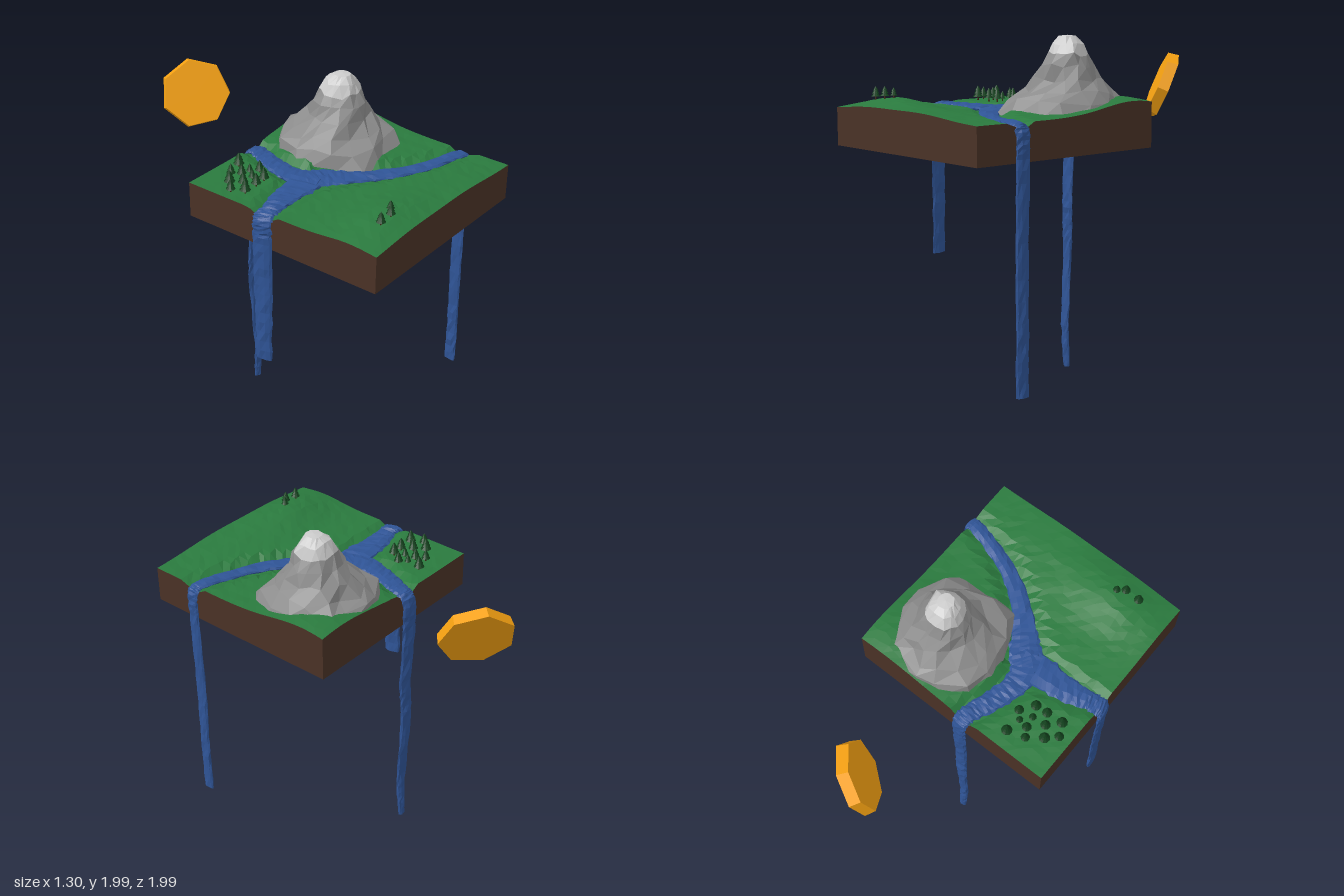
import * as THREE from 'three';

const V = (x, y, z) => new THREE.Vector3(x, y, z);
const mat = (color) => new THREE.MeshStandardMaterial({ color, flatShading: true });
const MATS = {
  grass: mat(0x2a7a3e), soil: mat(0x4a3226), water: mat(0x2f5496), rock: mat(0x8c8c8c),
  snow: mat(0xc6c6c6), leaf: mat(0x12401c), bark: mat(0x3f2716), gold: mat(0xf5a112),
};

// repeatable noise in -1..1
const noise = (a, b = 0, c = 0) => {
  const s = Math.sin(a * 127.1 + b * 311.7 + c * 74.7) * 43758.5453;
  return (s - Math.floor(s)) * 2 - 1;
};

function part(name, geometry, material) {
  const mesh = new THREE.Mesh(geometry, material);
  mesh.name = name;
  return mesh;
}

// skin over closed rings of equal length
function loft(rings) {
  const n = rings[0].length, index = [];
  for (let i = 0; i < rings.length - 1; i++) {
    for (let j = 0; j < n; j++) {
      const a = i * n + j, b = i * n + (j + 1) % n;
      index.push(a, a + n, b, b, a + n, b + n);
    }
  }
  const g = new THREE.BufferGeometry().setFromPoints(rings.flat());
  g.setIndex(index);
  g.computeVertexNormals();
  return g;
}

// island extents
const HALF = 0.61, BACK = -0.22, FRONT = 1.0, MID = 0.39, BOTTOM = 1.38;

// river arms: bed points [x, z, width], then fall points [x, y, z, width]
const ARMS = [
  { name: 'leftRiver',
    bed: [[-0.08, 0.27, 0.18], [-0.25, 0.25, 0.19], [-0.42, 0.26, 0.14], [-0.54, 0.285, 0.11], [-0.6, 0.29, 0.11]],
    fall: [[-0.626, 1.545, 0.295, 0.115], [-0.628, 1.45, 0.295, 0.11], [-0.625, 1.1, 0.295, 0.105], [-0.627, 0.68, 0.3, 0.1]] },
  { name: 'rightRiver',
    bed: [[-0.2, 0.2, 0.18], [-0.1, 0.29, 0.18], [0, 0.41, 0.13], [0.18, 0.56, 0.1], [0.4, 0.66, 0.085], [0.585, 0.71, 0.08]],
    fall: [[0.617, 1.545, 0.715, 0.085], [0.622, 1.4, 0.715, 0.08], [0.614, 0.9, 0.715, 0.078], [0.617, 0.5, 0.718, 0.076], [0.616, 0.16, 0.718, 0.075]] },
  { name: 'backRiver',
    bed: [[-0.14, 0.3, 0.18], [-0.18, 0.14, 0.15], [-0.155, 0, 0.12], [-0.11, -0.12, 0.11], [-0.085, -0.2, 0.1]],
    fall: [[-0.08, 1.545, -0.236, 0.1], [-0.08, 1.35, -0.246, 0.095], [-0.075, 1, -0.23, 0.09], [-0.08, 0.75, -0.237, 0.08], [-0.073, 0.25, -0.213, 0.065], [-0.072, 0, -0.225, 0.045]] },
];

// how far outside the nearest river bank a ground point is
function bankDistance(x, z) {
  let best = 9;
  for (const { bed } of ARMS) {
    for (let i = 0; i < bed.length - 1; i++) {
      const [ax, az, aw] = bed[i], [bx, bz, bw] = bed[i + 1];
      const dx = bx - ax, dz = bz - az;
      const t = THREE.MathUtils.clamp(((x - ax) * dx + (z - az) * dz) / (dx * dx + dz * dz), 0, 1);
      best = Math.min(best, Math.hypot(x - ax - dx * t, z - az - dz * t) - (aw + (bw - aw) * t) / 2);
    }
  }
  return best;
}

// ground height: soft hills [x, z, height, rx, rz] with the river valley cut in
const HILLS = [[-0.3, 0.83, 0.07, 0.3, 0.18], [0.15, 0.95, 0.03, 0.3, 0.3], [0.45, -0.08, 0.075, 0.35, 0.3], [0.12, 0.2, 0.04, 0.16, 0.2]];
function ground(x, z) {
  let y = 1.582;
  for (const [hx, hz, h, rx, rz] of HILLS) y += h * Math.exp(-(((x - hx) / rx) ** 2) - ((z - hz) / rz) ** 2);
  return THREE.MathUtils.lerp(1.552, y, THREE.MathUtils.smoothstep(bankDistance(x, z), -0.01, 0.05));
}

function makeIsland() {
  const island = new THREE.Group();
  island.name = 'island';
  const N = 26, SIZE = 2 * HALF;
  const top = new THREE.PlaneGeometry(SIZE, FRONT - BACK, N, N).rotateX(-Math.PI / 2).translate(0, 0, MID);
  const p = top.attributes.position;
  for (let i = 0; i < p.count; i++) {
    const col = i % (N + 1), row = Math.floor(i / (N + 1));
    const inside = col > 0 && col < N && row > 0 && row < N ? 0.01 : 0;
    const x = p.getX(i) + noise(i, 1) * inside, z = p.getZ(i) + noise(i, 2) * inside;
    p.setXYZ(i, x, ground(x, z) + noise(i, 3) * inside * 0.25, z);
  }
  top.computeVertexNormals();
  island.add(part('grass', top, MATS.grass));

  // soil walls follow the edge of the grass
  const corners = [[HALF, BACK], [HALF, FRONT], [-HALF, FRONT], [-HALF, BACK]];
  const rim = corners.flatMap(([x, z], k) => {
    const [nx, nz] = corners[(k + 1) % 4];
    return Array.from({ length: N }, (_, i) => [x + (nx - x) * i / N, z + (nz - z) * i / N]);
  });
  const rings = [rim.map(([x, z]) => V(x, BOTTOM, z)), rim.map(([x, z]) => V(x, ground(x, z), z))];
  island.add(part('soilWalls', loft(rings), MATS.soil));
  const base = new THREE.PlaneGeometry(SIZE, FRONT - BACK).rotateX(Math.PI / 2).translate(0, BOTTOM, MID);
  island.add(part('soilBase', base, MATS.soil));
  return island;
}

// flat rippled band of water that runs to the edge and drops
function makeRiver({ name, bed, fall }, seed) {
  const pts = [...bed.map(([x, z, w]) => [x, 1.567, z, w]), ...fall];
  const curve = new THREE.CatmullRomCurve3(pts.map(([x, y, z]) => V(x, y, z)));
  const STEPS = (pts.length - 1) * 7, SIDES = 10, rings = [];
  let side = V(1, 0, 0);
  for (let i = 0; i <= STEPS; i++) {
    const t = i / STEPS, k = Math.min(Math.floor(t * (pts.length - 1)), pts.length - 2);
    const width = THREE.MathUtils.lerp(pts[k][3], pts[k + 1][3], t * (pts.length - 1) - k);
    const c = curve.getPoint(t), tan = curve.getTangent(t);
    if (tan.y > -0.5) side = tan.clone().cross(V(0, 1, 0)).normalize();
    const up = side.clone().cross(tan).normalize();
    rings.push(Array.from({ length: SIDES }, (_, j) => {
      const a = j / SIDES * Math.PI * 2, r = 1 + 0.12 * noise(i, j, seed);
      return c.clone().addScaledVector(side, Math.cos(a) * r * width / 2)
        .addScaledVector(up, Math.sin(a) * 0.015 * (1 + 0.35 * noise(j, i, seed + 5)));
    }));
  }
  const cap = (t) => Array.from({ length: SIDES }, () => curve.getPoint(t));
  return part(name, loft([cap(0), ...rings, cap(1)]), MATS.water);
}

// craggy peak, profile rows: [y, radius, centre x, centre z]
function makeMountain() {
  const rows = [[1.56, 0.355, 0.27, 0.1], [1.645, 0.29, 0.265, 0.09], [1.69, 0.235, 0.27, 0.085], [1.755, 0.178, 0.28, 0.09],
    [1.825, 0.142, 0.285, 0.098], [1.89, 0.112, 0.288, 0.1], [1.95, 0.084, 0.287, 0.105], [1.985, 0.045, 0.29, 0.11], [1.99, 0, 0.29, 0.11]];
  const SIDES = 15;
  const rings = rows.map(([y, r, cx, cz], i) => Array.from({ length: SIDES }, (_, j) => {
    const a = (j + 0.3 * noise(i, j, 3)) / SIDES * Math.PI * 2;
    const rr = r * (1 + (i < 4 ? 0.13 : 0.08) * noise(i, j, 7));
    const dy = i > 6 ? 0 : 0.016 * noise(j, i, 11);
    return V(cx + Math.cos(a) * rr, y + dy, cz + Math.sin(a) * rr);
  }));
  // keep the crags inside the island edges
  rings.flat().forEach((v) => { v.x = Math.min(v.x, 0.6); v.z = Math.max(v.z, -0.21); });
  const mountain = new THREE.Group();
  mountain.name = 'mountain';
  mountain.add(part('rock', loft(rings.slice(0, 6)), MATS.rock), part('snowCap', loft(rings.slice(5)), MATS.snow));
  return mountain;
}

// pine: trunk and three stacked cones
function makeTree(x, z, s) {
  const tree = new THREE.Group();
  tree.name = 'tree';
  tree.add(part('trunk', new THREE.CylinderGeometry(0.004, 0.005, 0.03, 6).translate(0, 0.01, 0), MATS.bark));
  [[0.028, 0.032], [0.022, 0.049], [0.016, 0.065]].forEach(([r, y]) =>
    tree.add(part('branches', new THREE.ConeGeometry(r, 0.027, 9).translate(0, y, 0), MATS.leaf)));
  tree.position.set(x, ground(x, z), z);
  tree.scale.setScalar(s);
  return tree;
}

const TREES = [[-0.41, -0.1, 0.9], [-0.31, -0.13, 1.1], [-0.49, -0.04, 1.1], [-0.38, -0.05, 0.95], [-0.325, -0.04, 0.7],
  [-0.29, 0, 0.95], [-0.545, 0.015, 0.95], [-0.45, 0.02, 1], [-0.37, 0.015, 0.75], [-0.51, 0.085, 1.1], [-0.415, 0.08, 1],
  [-0.345, 0.075, 1.05], [-0.41, 0.88, 0.95], [-0.325, 0.88, 0.9], [-0.285, 0.85, 0.75]];

export function createModel() {
  const model = new THREE.Group();
  model.name = 'floatingIsland';
  model.add(makeIsland(), makeMountain());
  ARMS.forEach((arm, i) => model.add(makeRiver(arm, i * 13)));

  const trees = new THREE.Group();
  trees.name = 'trees';
  TREES.forEach(([x, z, s]) => trees.add(makeTree(x, z, s)));
  model.add(trees);

  // tilted seven-sided sun disc behind the island
  const sun = part('sun', new THREE.CylinderGeometry(0.205, 0.195, 0.065, 7), MATS.gold);
  sun.quaternion.setFromUnitVectors(V(0, 1, 0), V(0.62, -0.38, -0.69).normalize());
  sun.position.set(0.11, 1.66, -0.82);
  model.add(sun);
  return model;
}
